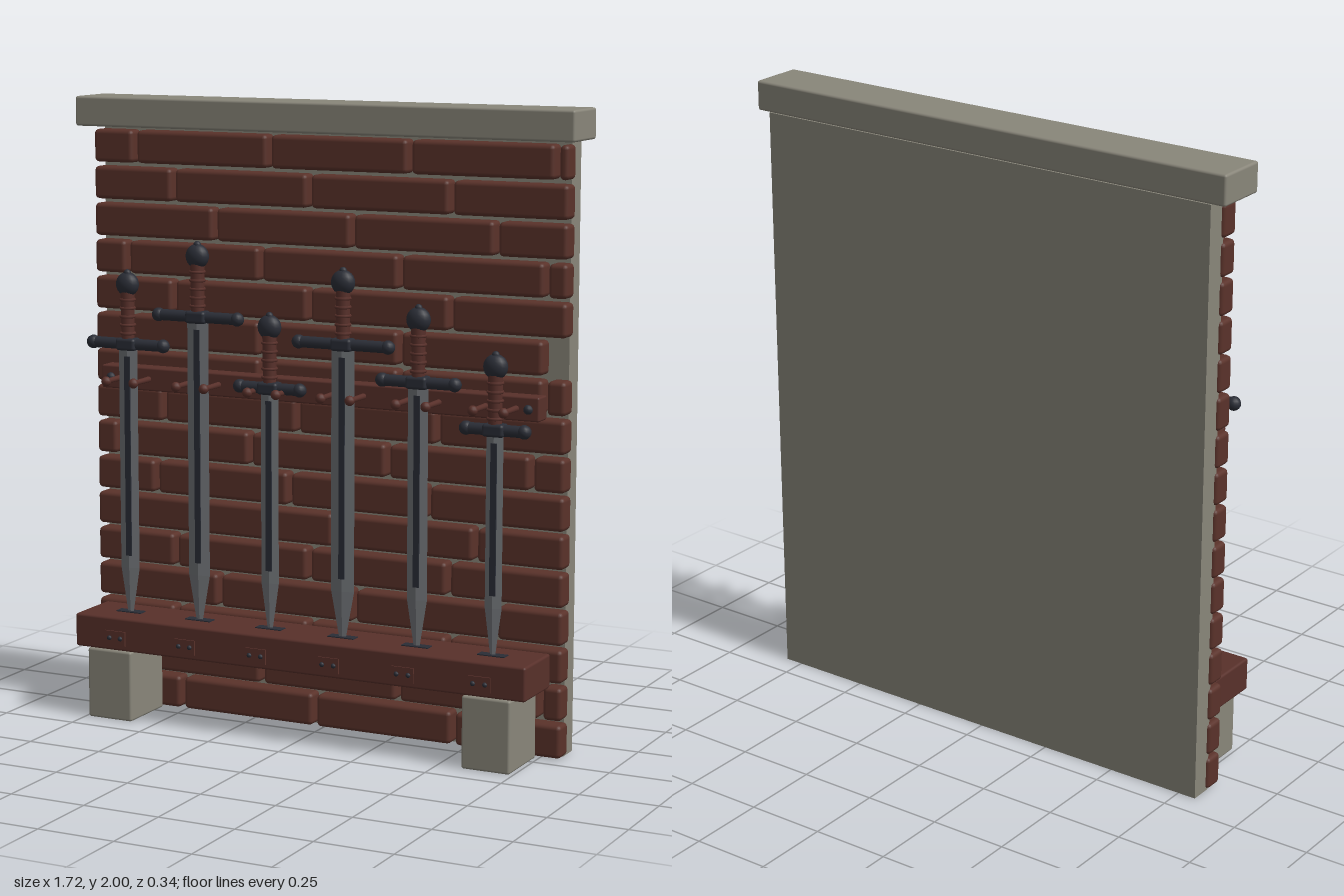
import * as THREE from 'three';
import { RoundedBoxGeometry } from 'three/addons/geometries/RoundedBoxGeometry.js';

const material = (name, color) => {
  const m = new THREE.MeshStandardMaterial({ color });
  m.name = name;
  return m;
};

export function createModel() {
  const stone = material('stone', 0x89867a);
  const brick = material('brick', 0x5a322a);
  const wood = material('wood', 0x58302a);
  const iron = material('dark iron', 0x2a2d36);
  const steel = material('steel', 0x707377);
  steel.flatShading = true;

  const model = new THREE.Group();
  model.name = 'swordRackWall';

  const add = (parent, name, geometry, mat, x = 0, y = 0, z = 0) => {
    const mesh = new THREE.Mesh(geometry, mat);
    mesh.name = name;
    mesh.position.set(x, y, z);
    parent.add(mesh);
    return mesh;
  };
  // Box given by its limits, with softened edges when r > 0
  const block = (parent, name, mat, [x0, x1], [y0, y1], [z0, z1], r = 0) => {
    const size = [x1 - x0, y1 - y0, z1 - z0];
    const geometry = r ? new RoundedBoxGeometry(...size, 2, r) : new THREE.BoxGeometry(...size);
    return add(parent, name, geometry, mat, (x0 + x1) / 2, (y0 + y1) / 2, (z0 + z1) / 2);
  };

  // Mortar slab and coping
  block(model, 'mortarSlab', stone, [-0.81, 0.81], [0.005, 1.905], [-0.172, -0.1]);
  block(model, 'coping', stone, [-0.858, 0.858], [1.905, 2], [-0.172, 0.004], 0.008);

  // Brick courses: first joint of each course, measured from the wall's right-hand end
  const wall = new THREE.Group();
  wall.name = 'brickwork';
  model.add(wall);
  const firstJoint = [0.31, 0.12, 0.29, 0.45, 0.29, 0.38, 0.22, 0.08, 0.25, 0.12, 0.12, 0.29, 0.12, 0.44, 0.29, 0.15];
  const pitch = 0.1186, brickLength = 0.484, half = 0.82, gap = 0.008;
  firstJoint.forEach((first, row) => {
    const joints = [-half];
    for (let x = -half + first; x < half - 0.03; x += brickLength) joints.push(x);
    joints.push(half);
    const y = row * pitch + 0.009;
    for (let i = 0; i < joints.length - 1; i++) {
      // One end brick has fallen out
      if (row === 10 && i === joints.length - 2) continue;
      const x0 = joints[i] + (i ? gap : 0);
      const x1 = joints[i + 1] - (i < joints.length - 2 ? gap : 0);
      block(wall, 'brick', brick, [x0, x1], [y, y + 0.105], [-0.112, -0.045], 0.014);
    }
  });

  // Stone feet and wooden bench beam
  for (const side of [-1, 1]) {
    block(model, 'foot', stone, [side * 0.66 - 0.08, side * 0.66 + 0.08], [0.005, 0.235], [-0.045, 0.164], 0.008);
  }
  block(model, 'benchBeam', wood, [-0.787, 0.787], [0.235, 0.343], [-0.04, 0.16], 0.008);

  // Peg rail with end bolts
  block(model, 'pegRail', wood, [-0.762, 0.762], [1.065, 1.14], [-0.045, 0.018], 0.006);
  const boltGeometry = new THREE.SphereGeometry(0.015, 12, 8);
  for (const side of [-1, 1]) add(model, 'railBolt', boltGeometry, iron, side * 0.727, 1.102, 0.018);

  const pegGeometry = new THREE.CylinderGeometry(0.008, 0.01, 0.11, 10).rotateX(Math.PI / 2);
  const knobGeometry = new THREE.SphereGeometry(0.016, 12, 8);
  const studGeometry = new THREE.SphereGeometry(0.008, 10, 6);

  // Sword sizes: guard height, guard half-length, blade half-width
  const swords = [
    [1.22, 0.15, 0.034], [1.322, 0.163, 0.038], [1.113, 0.127, 0.031],
    [1.267, 0.175, 0.04], [1.167, 0.143, 0.034], [1.04, 0.117, 0.028],
  ];

  function makeSword(guardY, guardHalf, bladeHalf) {
    const sword = new THREE.Group();
    sword.name = 'sword';
    const shoulder = 0.49, tip = 0.343;

    // Diamond-section blade with a tapered point
    const blade = (name, bottomScale, y0, y1) => {
      const g = new THREE.CylinderGeometry(1, bottomScale, y1 - y0, 4, 1);
      g.scale(bladeHalf, 1, 0.009);
      add(sword, name, g, steel, 0, (y0 + y1) / 2);
    };
    blade('blade', 1, shoulder, guardY);
    blade('bladePoint', 0.3, tip, shoulder);
    block(sword, 'fuller', iron, [-0.01, 0.01], [0.53, guardY - 0.04], [-0.0105, 0.0105]);

    // Crossguard with rounded ends
    const bar = new THREE.CylinderGeometry(0.018, 0.018, 2 * guardHalf - 0.04, 14).rotateZ(Math.PI / 2);
    add(sword, 'crossguard', bar, iron, 0, guardY);
    for (const side of [-1, 1]) {
      add(sword, 'guardEnd', new THREE.SphereGeometry(0.022, 14, 10), iron, side * (guardHalf - 0.022), guardY);
    }
    add(sword, 'guardBlock', new RoundedBoxGeometry(0.07, 0.04, 0.05, 2, 0.01), iron, 0, guardY);

    // Wrapped grip
    add(sword, 'grip', new THREE.CylinderGeometry(0.023, 0.021, 0.155, 14), wood, 0, guardY + 0.09);
    for (let i = 0; i < 5; i++) {
      const ring = new THREE.TorusGeometry(0.022, 0.005, 6, 16).rotateX(Math.PI / 2);
      add(sword, 'gripWrap', ring, wood, 0, guardY + 0.035 + i * 0.027);
    }

    // Pommel
    const pommel = add(sword, 'pommel', new THREE.SphereGeometry(0.039, 18, 12), iron, 0, guardY + 0.192);
    pommel.scale.z = 0.75;
    add(sword, 'pommelCap', new THREE.SphereGeometry(0.012, 10, 8), iron, 0, guardY + 0.228);
    return sword;
  }

  swords.forEach((size, i) => {
    const x = (i - 2.5) * 0.255;
    const sword = makeSword(...size);
    sword.position.set(x, 0, 0.06);
    model.add(sword);

    // Slot in the beam under the point
    block(model, 'beamSlot', iron, [x - 0.045, x + 0.045], [0.341, 0.346], [0.043, 0.077]);

    // Bracket plate with two studs on the beam front
    block(model, 'bracketPlate', wood, [x - 0.037, x + 0.037], [0.252, 0.3], [0.157, 0.165]);

    for (const side of [-1, 1]) {
      add(model, 'bracketStud', studGeometry, iron, x + side * 0.02, 0.277, 0.165);
      // Pegs either side of the blade
      add(model, 'peg', pegGeometry, wood, x + side * 0.05, 1.103, 0.06);
      add(model, 'pegKnob', knobGeometry, wood, x + side * 0.05, 1.103, 0.115);
    }
  });

  return model;
}
